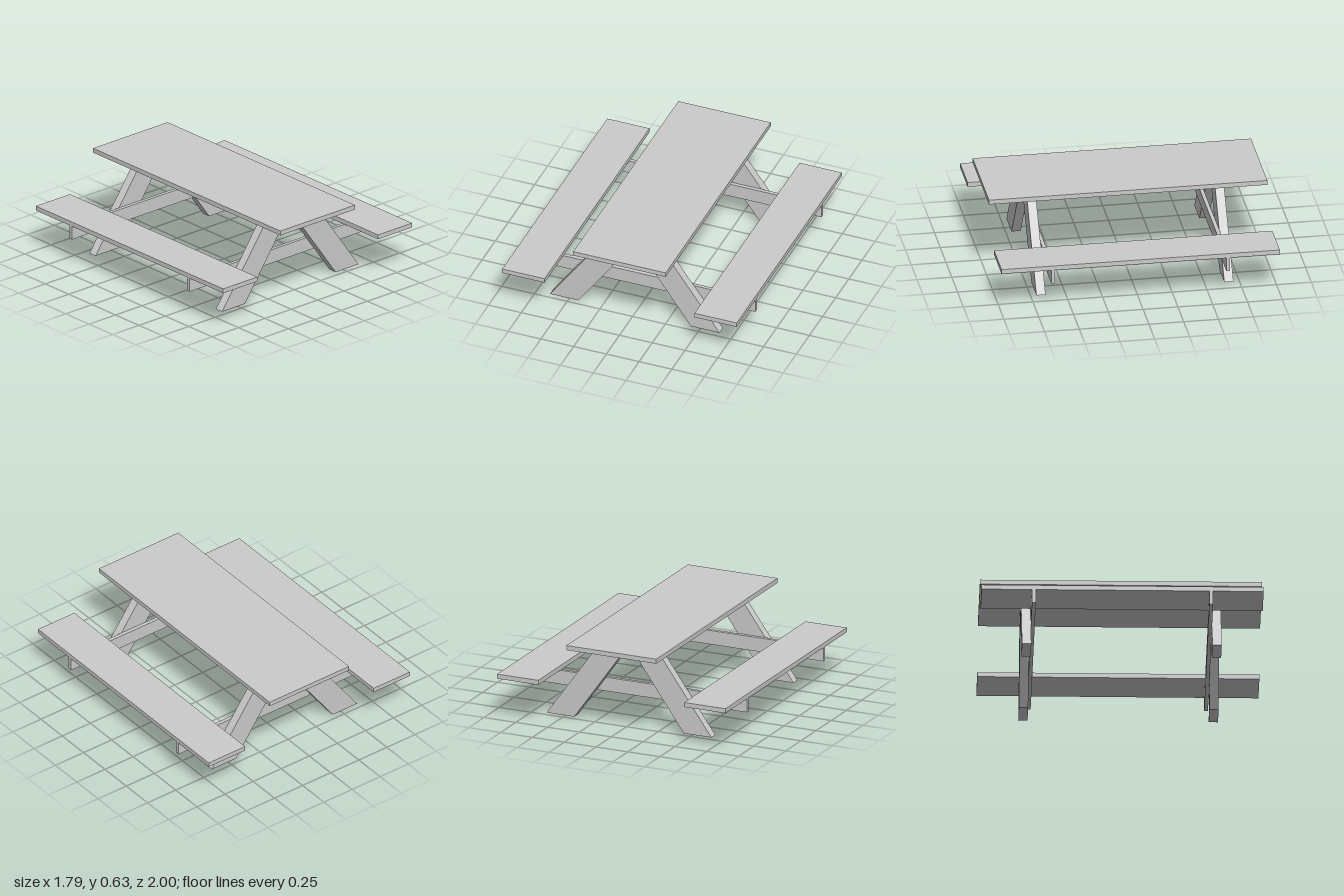
import * as THREE from 'three';

const material = new THREE.MeshStandardMaterial({ color: 0xcccccc, flatShading: true });

function addBox(parent, name, [w, h, d], [x, y, z]) {
  const mesh = new THREE.Mesh(new THREE.BoxGeometry(w, h, d), material);
  mesh.name = name;
  mesh.position.set(x, y, z);
  parent.add(mesh);
}

// Slanted leg: a parallelogram cut flat at the floor and the tabletop
function legGeometry(side) {
  const shape = new THREE.Shape([[0.43, 0], [0.647, 0], [0.215, 0.6], [0, 0.6]]
    .map(([x, y]) => new THREE.Vector2(side * x, y)));
  const geometry = new THREE.ExtrudeGeometry(shape, { depth: 0.066, bevelEnabled: false });
  return geometry.translate(0, 0, -0.033);
}

export function createModel() {
  const model = new THREE.Group();
  model.name = 'picnicTable';

  addBox(model, 'tableTop', [0.706, 0.034, 2], [0, 0.615, 0]);

  // Benches on both sides
  for (const [side, label] of [[1, 'left'], [-1, 'right']]) {
    addBox(model, label + 'Bench', [0.323, 0.034, 2], [side * 0.734, 0.323, 0]);
  }

  // A-frames at both ends, with the bench beam on the inner face of the legs
  for (const [end, label] of [[1, 'front'], [-1, 'back']]) {
    const frame = new THREE.Group();
    frame.name = label + 'Frame';
    for (const [side, sideLabel] of [[1, 'Left'], [-1, 'Right']]) {
      const leg = new THREE.Mesh(legGeometry(side), material);
      leg.name = label + sideLabel + 'Leg';
      leg.position.z = end * 0.675;
      frame.add(leg);
    }
    addBox(frame, label + 'Beam', [1.79, 0.103, 0.027], [0, 0.2555, end * 0.6285]);
    model.add(frame);
  }
  return model;
}
